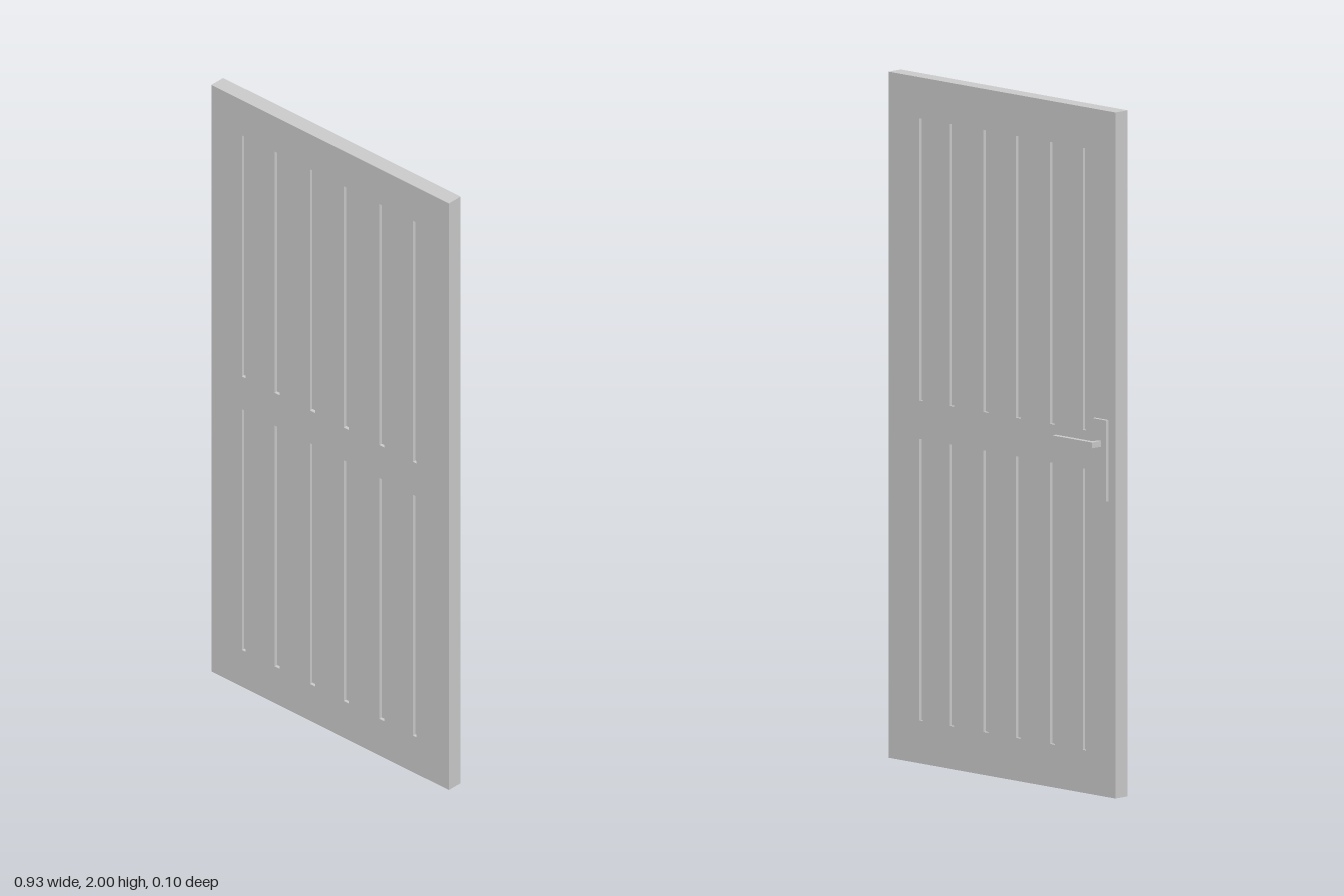
import * as THREE from 'three';

const W = 0.928, H = 2, T = 0.05;   // door leaf
const BACK = -0.0015;               // z of the leaf's back face
const GROOVE = 0.01;                // groove depth

export function createModel() {
  const door = new THREE.Group();
  door.name = 'door';
  const material = new THREE.MeshStandardMaterial({ color: 0xcccccc });

  const add = (parent, name, geometry, x, y, z) => {
    const mesh = new THREE.Mesh(geometry, material);
    mesh.name = name;
    mesh.position.set(x, y, z);
    parent.add(mesh);
  };
  // Box given by its limits on each axis
  const addBox = (parent, name, [x0, x1], [y0, y1], [z0, z1]) =>
    add(parent, name, new THREE.BoxGeometry(x1 - x0, y1 - y0, z1 - z0),
      (x0 + x1) / 2, (y0 + y1) / 2, (z0 + z1) / 2);
  const rect = (Type, x0, x1, y0, y1) => new Type([
    new THREE.Vector2(x0, y0), new THREE.Vector2(x1, y0),
    new THREE.Vector2(x1, y1), new THREE.Vector2(x0, y1),
  ]);

  // Face panel pierced by two rows of six slots; the outer slots are narrower
  const face = rect(THREE.Shape, -W / 2, W / 2, 0, H);
  const slots = [[-0.338, 0.014], [-0.207, 0.02], [-0.069, 0.02],
    [0.064, 0.02], [0.203, 0.02], [0.331, 0.014]];
  for (const [x, w] of slots) {
    for (const [y0, y1] of [[0.125, 0.946], [1.058, 1.88]]) {
      face.holes.push(rect(THREE.Path, x - w / 2, x + w / 2, y0, y1));
    }
  }
  const panel = new THREE.ExtrudeGeometry(face, { depth: GROOVE, bevelEnabled: false });

  // Leaf: a solid core between two grooved faces
  const leaf = new THREE.Group();
  leaf.name = 'leaf';
  door.add(leaf);
  addBox(leaf, 'core', [-W / 2, W / 2], [0, H], [BACK + GROOVE, BACK + T - GROOVE]);
  add(leaf, 'backFace', panel, 0, 0, BACK);
  add(leaf, 'frontFace', panel, 0, 0, BACK + T - GROOVE);

  // Lever handle on the back
  const handle = new THREE.Group();
  handle.name = 'handle';
  door.add(handle);
  addBox(handle, 'backplate', [-0.437, -0.381], [0.863, 1.1], [-0.0125, BACK]);
  addBox(handle, 'spindle', [-0.417, -0.404], [1.021, 1.038], [-0.0335, -0.0125]);
  addBox(handle, 'lever', [-0.417, -0.255], [1.021, 1.038], [-0.0495, -0.0335]);

  return door;
}
